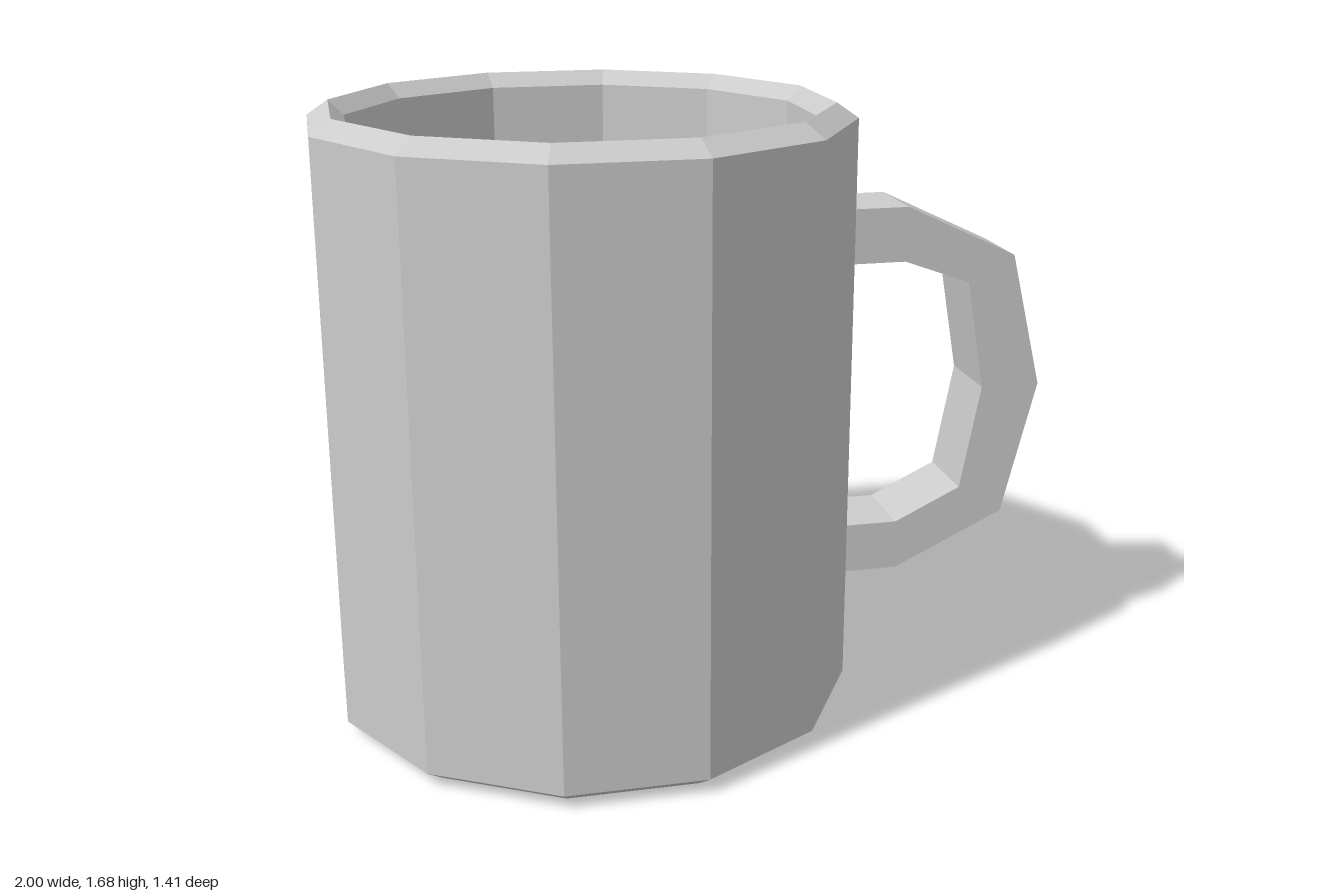
import * as THREE from 'three';

const SIDES = 12;
const CUP_X = -0.294;

// Closed-wall cup: profile given as [distance to flat side, height]
function buildCup(material) {
  const profile = [
    [0, 0], [0.65, 0],               // underside
    [0.706, 0.04], [0.706, 1.64],    // lower bevel and outer wall
    [0.65, 1.68], [0.61, 1.64],      // rim
    [0.61, 0.07], [0, 0.12],         // inner wall and slightly raised floor
  ].map(([a, y]) => new THREE.Vector2(a / Math.cos(Math.PI / SIDES), y));
  const cup = new THREE.Mesh(
    new THREE.LatheGeometry(profile, SIDES, Math.PI / SIDES), material);
  cup.position.x = CUP_X;
  cup.name = 'cup';
  return cup;
}

// Handle: rectangular cross-sections [outerX, outerY, innerX, innerY, halfWidth]
function buildHandle(material) {
  const sections = [
    [0.41, 1.397, 0.41, 1.203, 0.185],   // flared upper root
    [0.425, 1.38, 0.425, 1.227, 0.11],
    [0.59, 1.38, 0.585, 1.227, 0.11],
    [0.906, 1.23, 0.775, 1.158, 0.11],
    [1.0, 0.848, 0.83, 0.848, 0.11],
    [0.906, 0.465, 0.775, 0.548, 0.11],
    [0.59, 0.315, 0.585, 0.457, 0.11],
    [0.425, 0.315, 0.425, 0.457, 0.11],
    [0.41, 0.287, 0.41, 0.475, 0.185],   // flared lower root
  ];
  const positions = [];
  const index = [];
  sections.forEach(([ox, oy, ix, iy, w], i) => {
    positions.push(ox, oy, w, ox, oy, -w, ix, iy, -w, ix, iy, w);
    if (i === 0) return;
    for (let k = 0; k < 4; k++) {
      const n = (k + 1) % 4;
      const a = (i - 1) * 4 + k, b = (i - 1) * 4 + n;
      const c = i * 4 + n, d = i * 4 + k;
      index.push(a, c, b, a, d, c);
    }
  });
  const geometry = new THREE.BufferGeometry();
  geometry.setAttribute('position', new THREE.Float32BufferAttribute(positions, 3));
  geometry.setIndex(index);
  const flat = geometry.toNonIndexed();
  flat.computeVertexNormals();
  const handle = new THREE.Mesh(flat, material);
  handle.name = 'handle';
  return handle;
}

export function createModel() {
  const material = new THREE.MeshStandardMaterial({ color: 0xcccccc, flatShading: true });
  const mug = new THREE.Group();
  mug.name = 'mug';
  mug.add(buildCup(material), buildHandle(material));
  return mug;
}
